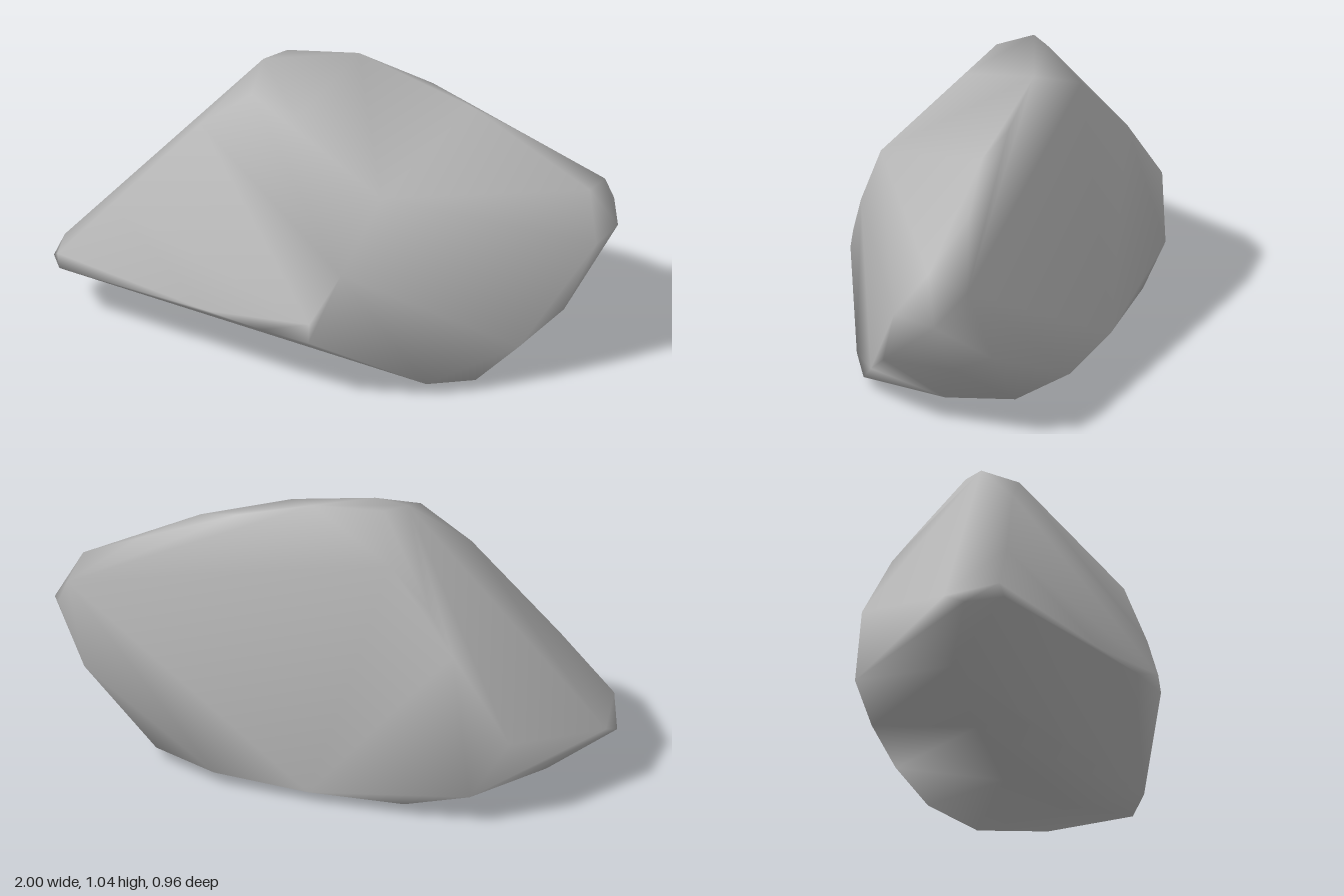
import * as THREE from 'three';
import { ConvexGeometry } from 'three/addons/geometries/ConvexGeometry.js';
import { mergeVertices } from 'three/addons/utils/BufferGeometryUtils.js';

// Rock corners, grouped by region: [x, y, z]
const crown = [
  [-0.27, 1.03, -0.1], [-0.2, 1.035, -0.17], [0.05, 1.04, -0.2], [-0.28, 0.965, 0.04],
  [-0.1, 0.93, 0.1], [0.32, 0.96, -0.19], [0.47, 0.915, -0.14], [0.69, 0.8, -0.16],
];
const leftRidge = [
  [-0.46, 0.83, 0.055], [-0.63, 0.63, 0.08], [-0.77, 0.48, 0.1], [-0.96, 0.26, 0.115], [-0.95, 0.21, 0.13],
  [-1, 0.18, 0], [-0.98, 0.22, -0.08],
];
const leftBackEdge = [
  [-0.25, 0.88, -0.28], [-0.4, 0.74, -0.31], [-0.5, 0.6, -0.37], [-0.72, 0.31, -0.43],
];
const frontNose = [
  [0.25, 0.77, 0.3], [0.13, 0.5, 0.41], [0.03, 0.32, 0.47], [0.03, 0.25, 0.48],
  [-0.15, 0.25, 0.43], [-0.37, 0.25, 0.35], [-0.5, 0.24, 0.3],
];
const rightEnd = [
  [0.91, 0.67, -0.08], [0.93, 0.63, -0.23], [0.96, 0.55, -0.24], [1, 0.51, -0.13], [0.96, 0.52, 0.03],
  [0.86, 0.28, 0.1], [0.86, 0.28, -0.15], [0.85, 0.34, -0.3], [0.72, 0.16, 0.19],
];
const base = [
  [0.42, 0.05, 0.335], [0.58, 0.045, 0.26], [0.65, 0.05, -0.06], [0.59, 0.05, -0.3], [0.35, 0.05, -0.425],
  [0, 0.04, -0.465], [-0.35, 0.045, -0.475], [-0.59, 0.11, -0.483], [-0.77, 0.045, -0.1],
  [-0.3, 0.04, 0.05], [-0.35, 0, -0.1], [0.1, 0, -0.1], [0.4, 0.015, 0.1],
];

export function createModel() {
  const stone = new THREE.MeshStandardMaterial({ color: 0xb4b4b4 });
  stone.name = 'grey stone';

  // Hull around the corners, welded so the shading runs smoothly over it
  const corners = [crown, leftRidge, leftBackEdge, frontNose, rightEnd, base].flat()
    .map((p) => new THREE.Vector3(...p));
  const hull = new ConvexGeometry(corners);
  hull.deleteAttribute('normal');
  const geometry = mergeVertices(hull, 1e-4);
  geometry.computeVertexNormals();

  const rock = new THREE.Mesh(geometry, stone);
  rock.name = 'rock';
  const group = new THREE.Group();
  group.name = 'boulder';
  group.add(rock);
  return group;
}
